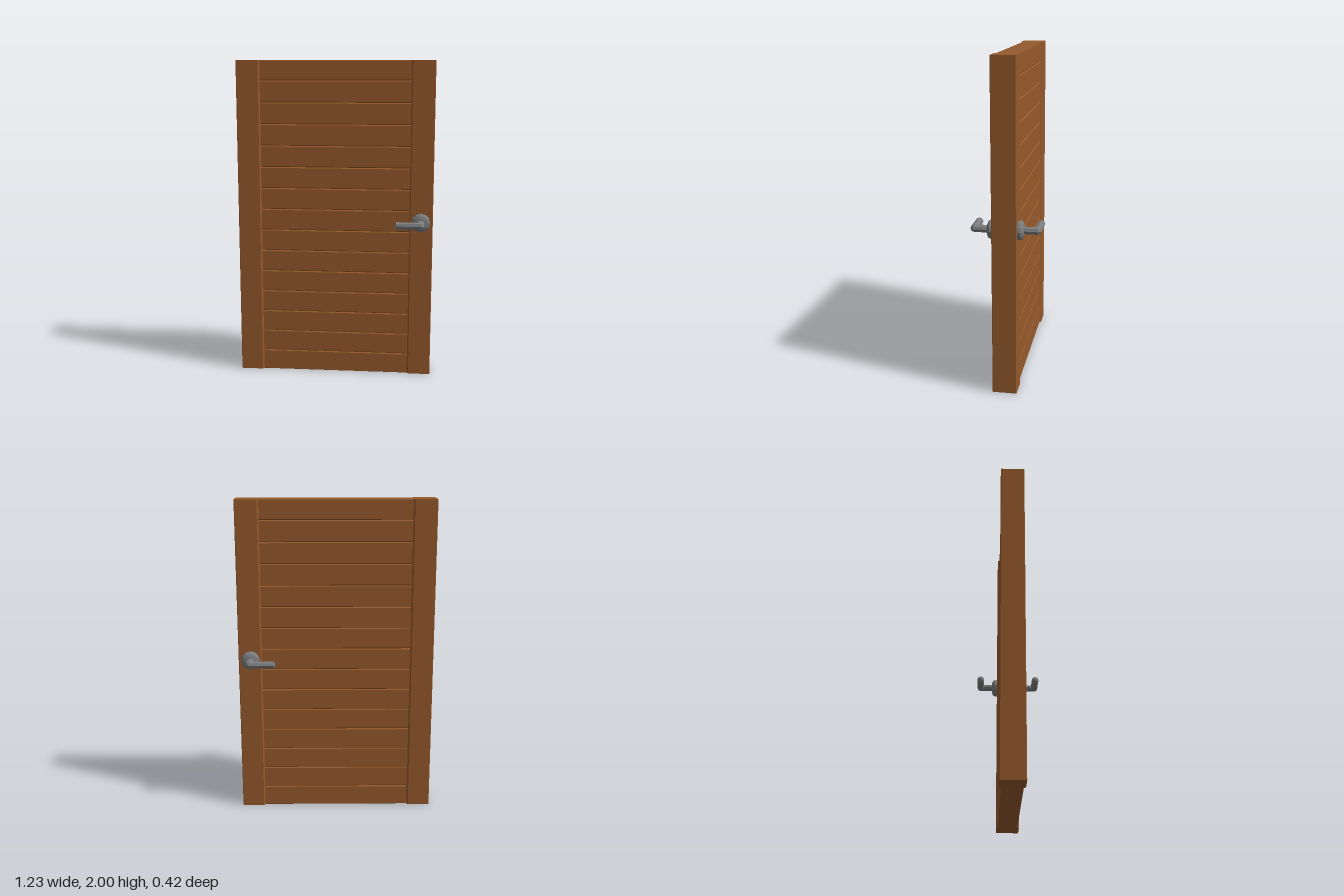
import * as THREE from 'three';

const wood = new THREE.MeshStandardMaterial({ color: 0x96592c });
wood.name = 'wood';
const metal = new THREE.MeshStandardMaterial({ color: 0x7b7c7d, flatShading: true });
metal.name = 'metal';

function extrude(points, depth) {
  const shape = new THREE.Shape(points.map(([a, b]) => new THREE.Vector2(a, b)));
  return new THREE.ExtrudeGeometry(shape, { depth, bevelEnabled: false });
}

// Upright with a chamfered inner edge, extruded along y
function stileGeometry() {
  const half = [[0.468, 0.062], [0.477, 0.073], [0.612, 0.073], [0.615, 0.07]];
  const mirrored = half.map(([x, z]) => [x, -z]).reverse();
  return extrude([...half, ...mirrored], 2).rotateX(-Math.PI / 2);
}

// Horizontal board with chamfered long edges, extruded along x
function boardGeometry(y0, y1, c0, c1) {
  const z = 0.062;
  const points = [
    [-z + c0, y0], [z - c0, y0], [z, y0 + c0], [z, y1 - c1],
    [z - c1, y1], [-z + c1, y1], [-z, y1 - c1], [-z, y0 + c0],
  ];
  return extrude(points, 0.95).rotateY(Math.PI / 2).translate(-0.475, 0, 0);
}

// Eight-sided bent lever; each section is [inner x, inner z, outer x, outer z, height radius]
function leverGeometry() {
  const sections = [
    [0.512, 0.1, 0.563, 0.1, 0.023],
    [0.517, 0.163, 0.563, 0.192, 0.023],
    [0.515, 0.163, 0.545, 0.209, 0.023],
    [0.389, 0.163, 0.386, 0.209, 0.023],
    [0.376, 0.183, 0.376, 0.183, 0],
  ];
  const sides = 8, position = [], index = [];
  sections.forEach(([ix, iz, ox, oz, r], i) => {
    for (let j = 0; j < sides; j++) {
      const t = (j / sides) * Math.PI * 2, c = Math.cos(t) / 2;
      position.push((ix + ox) / 2 + c * (ox - ix), Math.sin(t) * r, (iz + oz) / 2 + c * (oz - iz));
      if (i === 0) continue;
      const k = (j + 1) % sides, a = (i - 1) * sides, b = i * sides;
      index.push(a + j, a + k, b + k, a + j, b + k, b + j);
    }
  });
  const geometry = new THREE.BufferGeometry();
  geometry.setAttribute('position', new THREE.Float32BufferAttribute(position, 3));
  geometry.setIndex(index);
  geometry.computeVertexNormals();
  return geometry;
}

export function createModel() {
  const door = new THREE.Group();
  door.name = 'door';
  const add = (parent, name, geometry, material) => {
    const mesh = new THREE.Mesh(geometry, material);
    mesh.name = name;
    parent.add(mesh);
    return mesh;
  };

  // Side uprights
  const stile = stileGeometry();
  add(door, 'leftStile', stile, wood);
  add(door, 'rightStile', stile, wood).rotation.y = Math.PI;

  // Fifteen boards between the uprights
  const edges = [0];
  for (let i = 0; i < 14; i++) edges.push(0.13 + i * 0.1343);
  edges.push(2);
  for (let i = 0; i < 15; i++) {
    const geometry = boardGeometry(edges[i], edges[i + 1], i === 0 ? 0.002 : 0.006, i === 14 ? 0.002 : 0.006);
    add(door, `board${i + 1}`, geometry, wood);
  }

  // Handle set on both faces
  const roseProfile = [[0.058, 0.07], [0.058, 0.09], [0.048, 0.102], [0.03, 0.109], [0, 0.11]]
    .map(([r, y]) => new THREE.Vector2(r, y));
  const rose = new THREE.LatheGeometry(roseProfile, 12).rotateX(Math.PI / 2).translate(0.54, 0, 0);
  const lever = leverGeometry();
  ['frontHandle', 'backHandle'].forEach((name, i) => {
    const handle = new THREE.Group();
    handle.name = name;
    add(handle, 'rose', rose, metal);
    add(handle, 'lever', lever, metal);
    handle.position.y = 1;
    handle.rotation.x = i * Math.PI;
    door.add(handle);
  });
  return door;
}
